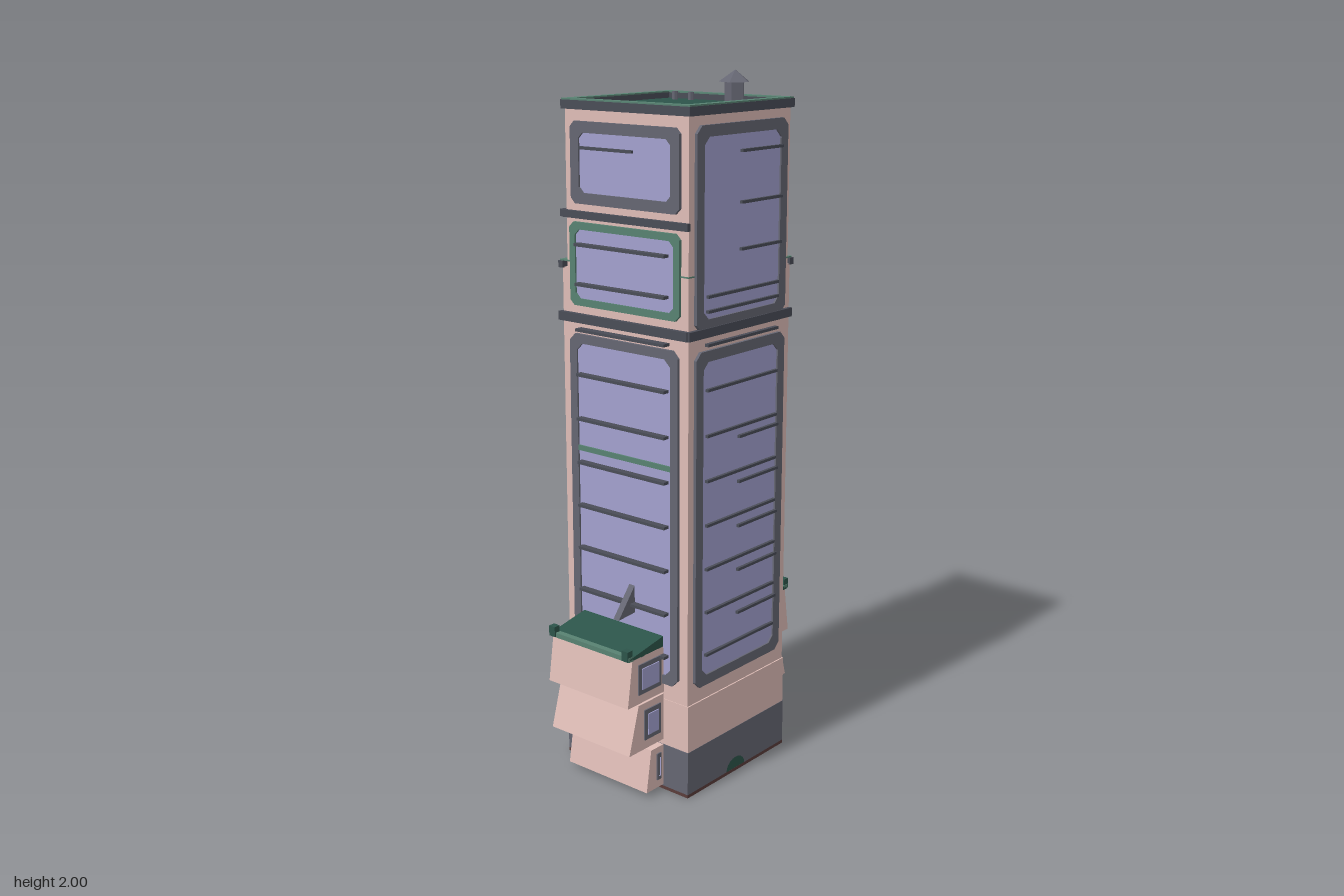
import * as THREE from 'three';

const mat = (name, color) => Object.assign(new THREE.MeshStandardMaterial({ color }), { name });

export function createModel() {
  const model = new THREE.Group();
  model.name = 'tower';
  const pink = mat('pink stone', 0xdfbdb7);
  const lavender = mat('lavender glass', 0xa3a1cf);
  const grey = mat('slate grey', 0x656672);
  const trim = mat('dark trim', 0x4a4d57);
  const green = mat('dark green roof', 0x2c544a);
  const rim = mat('light green copper', 0x588272);
  const brown = mat('brown underside', 0x5a3d3b);

  const add = (parent, name, geo, material) => {
    const m = new THREE.Mesh(geo, material);
    m.name = name;
    parent.add(m);
    return m;
  };
  // box given by its minimum and maximum corners
  const box = (parent, name, material, x0, x1, y0, y1, z0, z1) => {
    const m = add(parent, name, new THREE.BoxGeometry(x1 - x0, y1 - y0, z1 - z0), material);
    m.position.set((x0 + x1) / 2, (y0 + y1) / 2, (z0 + z1) / 2);
    return m;
  };
  const poly = (pts) => new THREE.Shape(pts.map(([x, y]) => new THREE.Vector2(x, y)));
  // rectangle with cut corners
  const cutRect = (x0, x1, y0, y1, c) => poly([
    [x0 + c, y0], [x1 - c, y0], [x1, y0 + c], [x1, y1 - c],
    [x1 - c, y1], [x0 + c, y1], [x0, y1 - c], [x0, y0 + c],
  ]);
  const extrude = (shape, depth) => new THREE.ExtrudeGeometry(shape, { depth, bevelEnabled: false });
  const faceted = (geo) => {
    const g = geo.toNonIndexed();
    g.computeVertexNormals();
    return g;
  };
  // glass pane with a raised frame around it
  const framed = (wall, name, material, x0, x1, y0, y1, t, c) => {
    const ring = cutRect(x0, x1, y0, y1, c);
    ring.holes.push(cutRect(x0 + t, x1 - t, y0 + t, y1 - t, c));
    add(wall, name + 'Frame', extrude(ring, 0.009), material);
    add(wall, name + 'Glass', extrude(cutRect(x0 + t / 2, x1 - t / 2, y0 + t / 2, y1 - t / 2, c), 0.004), lavender);
  };
  const bars = (wall, name, ys, x0, x1, out) =>
    ys.forEach((y) => box(wall, name, trim, x0, x1, y - 0.004, y + 0.004, 0, out));
  // wall group: local x runs along the wall, local z points outward
  const makeWall = (name, angle, x, z) => {
    const g = new THREE.Group();
    g.name = name;
    g.rotation.y = angle;
    g.position.set(x, 0, z);
    model.add(g);
    return g;
  };
  const floors = Array.from({ length: 9 }, (_, i) => 0.415 + i * 0.127);

  // main masses
  box(model, 'base', grey, -0.222, 0.228, 0.01, 0.14, -0.222, 0.24);
  box(model, 'underside', brown, -0.222, 0.228, 0, 0.01, -0.222, 0.24);
  box(model, 'lowerBand', pink, -0.22, 0.227, 0.14, 0.28, -0.217, 0.239);
  box(model, 'shaft', pink, -0.218, 0.225, 0.28, 1.47, -0.215, 0.235);
  box(model, 'crown', pink, -0.218, 0.215, 1.47, 1.9, -0.197, 0.235);
  box(model, 'setbackLedge', rim, -0.22, 0.233, 1.487, 1.491, -0.224, 0.236);

  // roof with parapet
  const ring = (x0, x1, z0, z1, t) => {
    const s = cutRect(x0, x1, -z1, -z0, 0.001);
    s.holes.push(cutRect(x0 + t, x1 - t, -z1 + t, -z0 - t, 0.001));
    return s;
  };
  const parapet = add(model, 'parapet', extrude(ring(-0.226, 0.223, -0.207, 0.244, 0.022), 0.024), trim);
  parapet.rotation.x = -Math.PI / 2;
  parapet.position.y = 1.9;
  const coping = add(model, 'coping', extrude(ring(-0.224, 0.221, -0.205, 0.242, 0.026), 0.004), rim);
  coping.rotation.x = -Math.PI / 2;
  coping.position.y = 1.924;
  box(model, 'roofDeck', green, -0.215, 0.212, 1.9, 1.908, -0.195, 0.233);

  // roof tank and vents
  const tank = new THREE.Group();
  tank.name = 'roofTank';
  tank.position.set(0.107, 0, 0.128);
  model.add(tank);
  add(tank, 'tankBody', faceted(new THREE.CylinderGeometry(0.029, 0.029, 0.065, 5)), grey).position.y = 1.938;
  add(tank, 'tankCap', faceted(new THREE.ConeGeometry(0.045, 0.032, 5)), grey).position.y = 1.984;
  for (const z of [-0.13, -0.072]) {
    add(model, 'roofVent', faceted(new THREE.CylinderGeometry(0.009, 0.009, 0.025, 6)), grey)
      .position.set(0.163, 1.918, z);
  }

  // front wall
  const front = makeWall('frontWall', 0, 0, 0.235);
  framed(front, 'upperWindow', grey, -0.195, 0.195, 1.34, 1.875, 0.03, 0.02);
  framed(front, 'lowerWindow', grey, -0.195, 0.195, 0.325, 1.285, 0.03, 0.02);
  box(front, 'cornice', trim, -0.228, 0.224, 1.322, 1.347, 0, 0.012);
  bars(front, 'louver', [1.8, 1.665, 1.54], -0.01, 0.17, 0.013);
  bars(front, 'louver', [1.43, 1.39, 1.3, ...floors.slice(0, 7)], -0.15, 0.16, 0.013);
  bars(front, 'shortLouver', [0.5, 0.63, 0.76, 0.89, 1.02], -0.01, 0.17, 0.013);
  const emblem = new THREE.CircleGeometry(0.042, 10, 0, Math.PI);
  emblem.scale(1, 0.8, 1);
  add(front, 'entryPlate', emblem, green).position.set(-0.005, 0.012, 0.007);

  // right wall (+x)
  const right = makeWall('rightWall', Math.PI / 2, 0.225, 0);
  bars(right, 'louver', [...floors.slice(1), 1.15], -0.14, 0.15, 0.022);
  box(right, 'cornice', trim, -0.24, 0.224, 1.468, 1.487, -0.005, 0.011);
  const rightTop = makeWall('rightCrown', Math.PI / 2, 0.215, 0);
  framed(rightTop, 'crownWindow', grey, -0.215, 0.172, 1.61, 1.87, 0.03, 0.015);
  framed(rightTop, 'ledgeWindow', rim, -0.17, 0.165, 1.47, 1.58, 0.017, 0.01);
  bars(rightTop, 'louver', [1.8, 1.665], -0.18, 0.01, 0.012);
  bars(rightTop, 'louver', [1.535], -0.15, 0.15, 0.012);

  // left wall (-x)
  const left = makeWall('leftWall', -Math.PI / 2, -0.218, 0);
  framed(left, 'crownWindow', grey, -0.172, 0.21, 1.65, 1.87, 0.03, 0.015);
  framed(left, 'middleWindow', rim, -0.18, 0.21, 1.37, 1.6, 0.02, 0.015);
  framed(left, 'lowerWindow', grey, -0.185, 0.205, 0.33, 1.29, 0.026, 0.02);
  box(left, 'cornice', trim, -0.205, 0.24, 1.61, 1.63, 0, 0.012);
  box(left, 'cornice', trim, -0.222, 0.24, 1.322, 1.347, 0, 0.014);
  box(left, 'greenBand', rim, -0.16, 0.18, 0.955, 0.97, 0, 0.009);
  bars(left, 'louver', [...floors, 1.54], -0.15, 0.17, 0.024);
  bars(left, 'louver', [1.8], -0.14, 0.05, 0.012);

  // back wall with three window strips and balcony rails
  const back = makeWall('backWall', Math.PI, 0, -0.215);
  for (const x of [-0.115, 0, 0.115]) {
    framed(back, 'windowStrip', rim, x - 0.042, x + 0.042, 0.36, 1.41, 0.011, 0.004);
    box(back, 'sill', green, x - 0.04, x + 0.04, 0.315, 0.335, 0, 0.018);
    box(back, 'greenBand', rim, x - 0.04, x + 0.04, 0.955, 0.97, 0, 0.009);
  }
  for (const x of [-0.172, -0.0575, 0.0575, 0.172]) box(back, 'pilaster', pink, x - 0.015, x + 0.015, 0.29, 1.42, 0, 0.014);
  for (const y of floors.slice(0, 8)) box(back, 'balconyRail', grey, -0.145, 0.15, y - 0.009, y + 0.009, 0, 0.034);
  box(back, 'archTrim', rim, -0.19, 0.19, 1.42, 1.432, 0, 0.01);
  box(back, 'cornice', trim, -0.232, 0.225, 1.468, 1.487, -0.005, 0.011);
  const backTop = makeWall('backCrown', Math.PI, 0, -0.197);
  framed(backTop, 'crownWindow', grey, -0.185, 0.185, 1.65, 1.87, 0.03, 0.015);
  framed(backTop, 'ledgeWindow', rim, -0.185, 0.185, 1.49, 1.59, 0.016, 0.01);
  box(backTop, 'cornice', trim, -0.222, 0.224, 1.61, 1.63, 0, 0.02);
  bars(backTop, 'louver', [1.8], -0.14, 0.05, 0.012);

  // back entrance
  const entry = makeWall('backEntrance', Math.PI, 0, -0.222);
  box(entry, 'porch', grey, -0.07, 0.07, 0, 0.125, 0, 0.024);
  box(entry, 'porchCanopy', green, -0.072, 0.072, 0.125, 0.138, 0, 0.031);
  box(entry, 'doorFrame', rim, -0.045, 0.045, 0.01, 0.115, 0.024, 0.028);
  box(entry, 'doorGlass', lavender, -0.034, 0.034, 0.01, 0.104, 0.028, 0.031);
  for (const x of [-0.145, 0.145]) framed(entry, 'baseWindow', trim, x - 0.05, x + 0.05, 0.035, 0.105, 0.012, 0.006);

  // side bays: flared tiers, windows on both ends, green roof
  for (const s of [1, -1]) {
    const bay = new THREE.Group();
    bay.name = s > 0 ? 'leftBay' : 'rightBay';
    // the mirrored bay is turned around so its faces stay outward
    bay.rotation.y = s > 0 ? 0 : Math.PI;
    model.add(bay);
    const tier = (name, x0, x1, y0, y1, depth) => {
      const shape = poly([[0.2, y0], [x0, y0], [x1, y1], [0.2, y1]]);
      add(bay, name, extrude(shape, depth * 2), pink).position.z = -depth;
      const h = y1 - y0;
      for (const side of [1, -1]) {
        const frame = box(bay, name + 'WindowFrame', grey, 0.235, x1 - 0.022, y0 + h * 0.2, y0 + h * 0.85, -0.003, 0.003);
        const glass = box(bay, name + 'WindowGlass', lavender, 0.247, x1 - 0.034, y0 + h * 0.3, y0 + h * 0.75, -0.003, 0.003);
        frame.position.z = side * (depth + 0.001);
        glass.position.z = side * (depth + 0.004);
      }
    };
    if (s < 0) tier('lowerTier', 0.295, 0.275, 0.015, 0.14, 0.15);
    tier('middleTier', 0.365, 0.325, 0.155, 0.295, 0.148);
    tier('upperTier', 0.372, 0.352, 0.302, 0.44, 0.15);
    const roof = poly([[0.2, 0.438], [0.362, 0.438], [0.362, 0.446], [0.2, 0.475]]);
    add(bay, 'bayRoof', extrude(roof, 0.3), green).position.z = -0.15;
    box(bay, 'bayCoping', rim, 0.348, 0.366, 0.438, 0.452, -0.15, 0.15);
    for (const z of [-0.138, 0.138]) box(bay, 'bayPost', green, 0.35, 0.37, 0.44, 0.47, z - 0.011, z + 0.011);
  }

  // small slate fins beside the bays
  const fin = (pts, z) => {
    add(model, 'slateFin', extrude(poly(pts), 0.02), grey).position.z = z;
  };
  fin([[0.22, 0.06], [0.365, 0.14], [0.22, 0.14]], -0.15);
  fin([[0.22, 0.52], [0.25, 0.53], [0.22, 0.61]], -0.12);
  fin([[-0.21, 0.515], [-0.21, 0.61], [-0.29, 0.51]], 0.025);
  return model;
}
